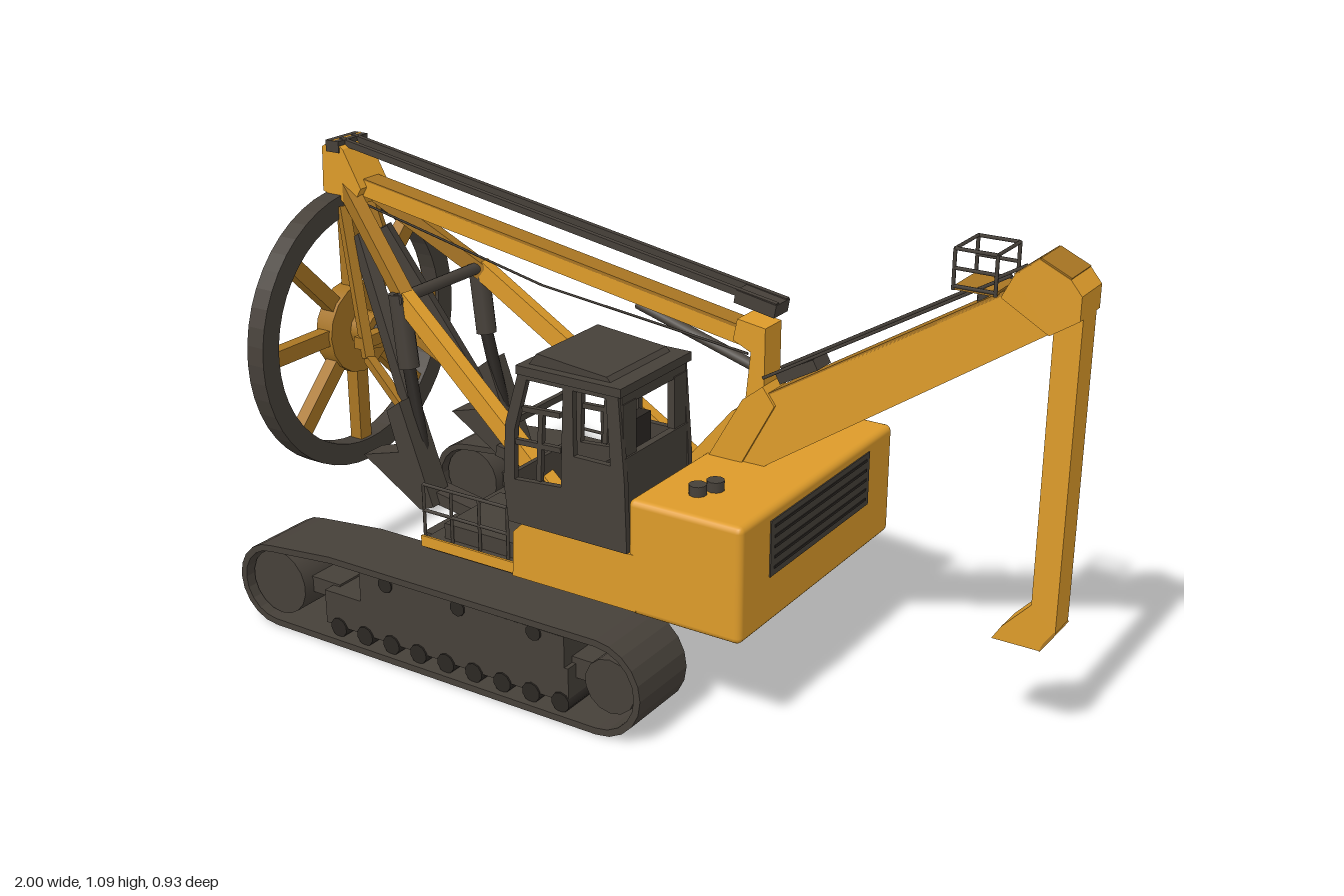
import * as THREE from 'three';
import { RoundedBoxGeometry } from 'three/addons/geometries/RoundedBoxGeometry.js';

export function createModel() {
  const model = new THREE.Group();
  const mat = (name, color) => {
    const m = new THREE.MeshStandardMaterial({ color });
    m.name = name;
    return m;
  };
  const amber = mat('amber paint', 0xdd9b2a);
  const brown = mat('weathered amber', 0xa87523);
  const dark = mat('dark steel', 0x464039);
  const black = mat('black trim', 0x2b2723);

  const add = (name, geometry, material, parent = model) => {
    const m = new THREE.Mesh(geometry, material);
    m.name = name;
    parent.add(m);
    return m;
  };
  const group = (name) => {
    const g = new THREE.Group();
    g.name = name;
    model.add(g);
    return g;
  };
  // Box given by its two corners
  const box = (name, a, b, material, parent) => {
    const m = add(name, new THREE.BoxGeometry(b[0] - a[0], b[1] - a[1], b[2] - a[2]), material, parent);
    m.position.set((a[0] + b[0]) / 2, (a[1] + b[1]) / 2, (a[2] + b[2]) / 2);
    return m;
  };
  // Square beam from p to q: w across, h in the upright plane
  const up = new THREE.Vector3(0, 1, 0);
  const beam = (name, p, q, w, h, material, parent) => {
    const a = new THREE.Vector3(...p), b = new THREE.Vector3(...q);
    const m = add(name, new THREE.BoxGeometry(w, h, a.distanceTo(b)), material, parent);
    m.quaternion.setFromRotationMatrix(new THREE.Matrix4().lookAt(b, a, up));
    m.position.copy(a).add(b).multiplyScalar(0.5);
    return m;
  };
  // Round bar from p to q
  const rod = (name, p, q, r, material, parent, sides = 10) => {
    const a = new THREE.Vector3(...p), b = new THREE.Vector3(...q);
    const m = add(name, new THREE.CylinderGeometry(r, r, a.distanceTo(b), sides), material, parent);
    m.position.copy(a).add(b).multiplyScalar(0.5);
    m.quaternion.setFromUnitVectors(up, b.sub(a).normalize());
    return m;
  };
  // Side profile pushed from z0 to z1, with optional holes
  const pts = (list) => list.map(([x, y]) => new THREE.Vector2(x, y));
  const prism = (name, profile, z0, z1, material, parent, holes = []) => {
    const s = new THREE.Shape(pts(profile));
    for (const h of holes) s.holes.push(new THREE.Path(pts(h)));
    const g = new THREE.ExtrudeGeometry(s, { depth: z1 - z0, bevelEnabled: false });
    return add(name, g.translate(0, 0, z0), material, parent);
  };

  // Crawler tracks
  const belt = (inset) => {
    const out = [];
    const arc = (x, r, start) => {
      for (let i = 0; i <= 10; i++) {
        const a = start + (i / 10) * Math.PI;
        out.push([x + Math.cos(a) * (r - inset), r + Math.sin(a) * (r - inset)]);
      }
    };
    arc(-0.785, 0.105, Math.PI / 2);
    arc(0.145, 0.115, -Math.PI / 2);
    out.push([-0.6, 0.228 - inset]);
    return out;
  };
  for (const s of [-1, 1]) {
    const t = group(s > 0 ? 'frontTrack' : 'backTrack');
    const zr = (a, b) => (s > 0 ? [a, b] : [-b, -a]);
    const [z0, z1] = zr(0.28, 0.465);
    prism('trackBelt', belt(0), z0, z1, dark, t, [belt(0.016)]);
    const [f0, f1] = zr(0.3, 0.445);
    box('trackFrame', [-0.64, 0.04, f0], [0.06, 0.125, f1], dark, t);
    box('trackFrameTop', [-0.53, 0.12, f0], [0.05, 0.2, f1], dark, t);
    box('idlerYoke', [-0.78, 0.09, f0 + 0.03], [-0.62, 0.13, f1 - 0.03], dark, t);
    box('driveYoke', [0.05, 0.09, f0 + 0.03], [0.15, 0.14, f1 - 0.03], dark, t);
    rod('idler', [-0.785, 0.107, f0], [-0.785, 0.107, f1], 0.082, dark, t, 18);
    rod('sprocket', [0.17, 0.115, f0], [0.17, 0.115, f1], 0.065, dark, t, 14);
    for (let i = 0; i < 9; i++) {
      const x = -0.6 + i * 0.08;
      rod('trackRoller', [x, 0.038, f0 - 0.004], [x, 0.038, f1 + 0.004], 0.024, black, t);
    }
    for (const x of [-0.45, -0.24, -0.03])
      rod('carrierRoller', [x, 0.19, f0 - 0.004], [x, 0.19, f1 + 0.004], 0.02, black, t);
    const [a0, a1] = zr(0.2, 0.31);
    box('carBodyArm', [-0.48, 0.15, a0], [0.04, 0.205, a1], dark, t);
  }
  box('carBody', [-0.52, 0.128, -0.22], [0.08, 0.218, 0.22], dark);
  rod('slewRing', [-0.14, 0.205, 0], [-0.14, 0.25, 0], 0.19, black, model, 28);

  // Upper structure
  box('deck', [-0.42, 0.245, -0.3], [0.16, 0.272, 0.33], dark);
  for (const z of [-0.306, 0.33]) box('deckSkirt', [-0.43, 0.25, z], [0.16, 0.277, z + 0.006], amber);
  const cw = add('counterweight', new RoundedBoxGeometry(0.28, 0.27, 0.69, 2, 0.015), amber);
  cw.position.set(0.29, 0.377, 0);
  box('counterweightInnerFace', [0.147, 0.275, -0.33], [0.152, 0.495, -0.06], brown);
  box('counterweightUnderside', [0.17, 0.238, -0.3], [0.4, 0.244, 0.3], brown);
  box('rearGrille', [0.425, 0.355, -0.225], [0.433, 0.485, 0.225], dark);
  for (let i = 0; i < 5; i++)
    box('grilleSlat', [0.43, 0.37 + i * 0.024, -0.21], [0.435, 0.376 + i * 0.024, 0.21], black);
  for (const [x, z] of [[0.26, 0.24], [0.28, 0.2], [0.2, -0.25]])
    rod('deckCap', [x, 0.5, z], [x, 0.535, z], 0.02, dark);
  prism('cabBase', [[-0.16, 0.25], [0.17, 0.25], [0.17, 0.385], [-0.13, 0.385], [-0.155, 0.36]], 0.07, 0.345, amber);
  box('machineryCover', [-0.1, 0.27, -0.24], [0.16, 0.37, -0.06], dark);
  box('machineryStep', [-0.3, 0.27, -0.22], [-0.1, 0.31, -0.08], dark);
  box('boomCradle', [-0.15, 0.27, -0.06], [0.16, 0.42, 0.07], dark);
  box('toolLocker', [-0.38, 0.27, 0.1], [-0.17, 0.31, 0.31], dark);
  for (const z of [-0.28, 0.0]) box('deckStrip', [-0.4, 0.27, z], [-0.16, 0.278, z + 0.04], brown);

  // Handrails
  const rails = group('handrails');
  for (const z of [-0.29, 0.32]) {
    for (const x of [-0.43, -0.35, -0.27, -0.19]) rod('railPost', [x, 0.27, z], [x, 0.4, z], 0.004, dark, rails, 6);
    for (const y of [0.335, 0.4]) rod('railBar', [-0.43, y, z], [-0.19, y, z], 0.004, dark, rails, 6);
  }

  // Cab
  const cab = group('cab');
  const side = [[-0.165, 0.385], [0.15, 0.385], [0.145, 0.55], [0.13, 0.75], [-0.125, 0.75], [-0.165, 0.62], [-0.175, 0.48]];
  const sideWindows = [
    [[-0.145, 0.49], [-0.02, 0.5], [-0.01, 0.73], [-0.105, 0.73], [-0.14, 0.61]],
    [[0.015, 0.58], [0.11, 0.58], [0.1, 0.73], [0.015, 0.73]],
  ];
  for (const z of [0.08, 0.333]) prism('cabSide', side, z, z + 0.015, dark, cab, sideWindows);
  for (const z of [0.087, 0.341]) {
    beam('doorBar', [-0.08, 0.5, z], [-0.07, 0.66, z], 0.012, 0.012, dark, cab);
    beam('doorBar', [-0.14, 0.58, z], [-0.02, 0.585, z], 0.012, 0.012, dark, cab);
    beam('doorBar', [-0.12, 0.66, z], [-0.02, 0.665, z], 0.012, 0.012, dark, cab);
  }
  box('cabRear', [0.125, 0.385, 0.09], [0.142, 0.6, 0.34], dark, cab);
  box('cabRearTop', [0.12, 0.715, 0.09], [0.135, 0.75, 0.34], dark, cab);
  for (const z of [0.09, 0.29]) box('cabRearPost', [0.12, 0.6, z], [0.138, 0.72, z + 0.05], dark, cab);
  beam('cabFrontPanel', [-0.165, 0.385, 0.214], [-0.172, 0.49, 0.214], 0.25, 0.012, dark, cab);
  box('windscreenBar', [-0.165, 0.61, 0.09], [-0.153, 0.625, 0.34], dark, cab);
  box('cabRoof', [-0.13, 0.74, 0.075], [0.14, 0.76, 0.352], dark, cab);
  prism('roofVisor', [[-0.11, 0.76], [0.1, 0.76], [0.09, 0.77], [-0.09, 0.787]], 0.1, 0.33, dark, cab);
  box('seat', [-0.02, 0.385, 0.15], [0.08, 0.5, 0.28], black, cab);
  box('seatBack', [0.06, 0.5, 0.16], [0.09, 0.64, 0.26], black, cab);

  // Rear boom with hanging leg
  const boom = group('rearBoom');
  prism('boomBeam', [[0.02, 0.385], [0.1, 0.37], [0.33, 0.53], [0.96, 0.955], [0.86, 1.02], [0.22, 0.625]], -0.035, 0.035, amber, boom);
  beam('boomTopPlate', [0.24, 0.637, 0], [0.85, 1.014, 0], 0.07, 0.008, brown, boom);
  prism('boomHead', [[0.835, 1.0], [0.86, 1.05], [0.91, 1.09], [0.975, 1.06], [1.0, 1.03], [1.0, 0.98], [0.94, 0.94]], -0.052, 0.052, amber, boom);
  beam('headTopPlate', [0.86, 1.05, 0], [0.91, 1.09, 0], 0.1, 0.006, brown, boom);
  beam('headTopPlate', [0.91, 1.09, 0], [0.975, 1.06, 0], 0.1, 0.006, brown, boom);
  prism('hangingLeg', [[0.942, 1.0], [1.0, 1.0], [0.998, 0.3], [0.965, 0.25], [0.86, 0.25], [0.88, 0.283], [0.942, 0.35]], -0.035, 0.035, amber, boom);
  beam('legHeel', [0.998, 0.3, 0], [0.965, 0.25, 0], 0.07, 0.006, brown, boom);
  prism('boomBracket', [[0.16, 0.5], [0.25, 0.51], [0.33, 0.66], [0.3, 0.7], [0.25, 0.66]], -0.042, 0.042, amber, boom);
  for (const z of [-0.04, 0.04]) rod('boomStay', [0.3, 0.72, z], [0.85, 1.045, z], 0.004, dark, boom, 6);
  beam('boomWinch', [0.33, 0.72, 0], [0.42, 0.77, 0], 0.06, 0.025, dark, boom);

  // Service basket, a cage of thin bars
  const basket = group('basket');
  box('basketFloor', [0.735, 1.0, -0.055], [0.825, 1.008, 0.055], brown, basket);
  for (const z of [-0.055, 0.055]) {
    for (const x of [0.735, 0.825]) rod('cagePost', [x, 1.0, z], [x, 1.085, z], 0.004, dark, basket, 6);
    for (const y of [1.008, 1.045, 1.085]) rod('cageBar', [0.735, y, z], [0.825, y, z], 0.004, dark, basket, 6);
  }
  for (const x of [0.735, 0.825]) rod('cageEnd', [x, 1.085, -0.055], [x, 1.085, 0.055], 0.004, dark, basket, 6);
  rod('basketMount', [0.78, 0.95, 0], [0.78, 1.0, 0], 0.015, dark, basket);

  // Long top beam joining the rear post and the wheel mast
  const top = group('topBeam');
  beam('mainBeam', [-0.88, 0.985, 0], [0.29, 0.79, 0], 0.055, 0.04, amber, top);
  beam('mainBeamTopPlate', [-0.82, 0.995, 0], [0.23, 0.82, 0], 0.055, 0.008, brown, top);
  for (const z of [-0.022, 0.022]) beam('tieBar', [-0.89, 1.083, z], [0.32, 0.88, z], 0.013, 0.016, dark, top);
  beam('tieEnd', [0.22, 0.888, 0], [0.32, 0.87, 0], 0.06, 0.03, dark, top);
  prism('rearPost', [[0.25, 0.62], [0.3, 0.66], [0.3, 0.83], [0.23, 0.84], [0.22, 0.79], [0.265, 0.77]], -0.035, 0.035, amber, top);
  rod('slackCable', [-0.85, 0.94, 0.02], [-0.3, 0.82, 0.02], 0.003, dark, top, 5);
  rod('slackCable', [-0.3, 0.82, 0.02], [0.25, 0.76, 0.02], 0.003, dark, top, 5);
  prism('mastHead', [[-0.93, 0.96], [-0.925, 1.07], [-0.89, 1.09], [-0.86, 1.07], [-0.81, 0.98], [-0.84, 0.93]], -0.05, 0.05, amber, top);
  box('mastPulley', [-0.91, 1.06, -0.053], [-0.87, 1.088, 0.053], dark, top);

  // Front linkage, mirrored on both sides; the far leg runs on past the cab line
  const link = group('frontLinkage');
  for (const s of [-1, 1]) {
    beam('upperLeg', [-0.87, 0.97, s * 0.03], [-0.6, 0.76, s * 0.145], 0.035, 0.04, brown, link);
    beam('lowerLeg', [-0.61, 0.77, s * 0.145], s > 0 ? [-0.14, 0.4, 0.2] : [0.04, 0.28, -0.265], 0.035, 0.045, amber, link);
    rod('ramBarrel', [-0.62, 0.78, s * 0.15], [-0.6, 0.6, s * 0.15], 0.026, dark, link);
    rod('ramPiston', [-0.6, 0.6, s * 0.15], [-0.56, 0.4, s * 0.16], 0.016, black, link);
    beam('wheelFork', [-0.87, 0.93, s * 0.05], [-0.78, 0.57, s * 0.09], 0.025, 0.025, brown, link);
    beam('forkLink', [-0.78, 0.57, s * 0.09], [-0.62, 0.46, s * 0.13], 0.022, 0.022, brown, link);
    beam('darkBrace', [-0.83, 0.86, s * 0.04], [-0.62, 0.47, s * 0.12], 0.03, 0.045, dark, link);
    prism('footPlate', [[-0.63, 0.5], [-0.59, 0.53], [-0.5, 0.28], [-0.54, 0.265], [-0.71, 0.37], [-0.6, 0.4]],
      s * 0.17 - 0.035, s * 0.17 + 0.035, dark, link);
    beam('deckLink', [-0.56, 0.3, s * 0.15], [-0.3, 0.26, s * 0.15], 0.06, 0.03, dark, link);
  }
  rod('crossShaft', [-0.61, 0.77, -0.17], [-0.61, 0.77, 0.17], 0.015, dark, link);
  rod('hoistRam', [-0.08, 0.795, -0.05], [0.27, 0.71, -0.02], 0.013, dark, link);

  // Big spoked wheel
  const wheel = group('spokedWheel');
  wheel.position.set(-0.9, 0.605, 0);
  const ring = (r0, r1, x0, x1) => {
    const s = new THREE.Shape().absarc(0, 0, r1, 0, Math.PI * 2);
    s.holes.push(new THREE.Path().absarc(0, 0, r0, 0, Math.PI * 2, true));
    const g = new THREE.ExtrudeGeometry(s, { depth: x1 - x0, bevelEnabled: false, curveSegments: 24 });
    return g.translate(0, 0, x0).rotateY(Math.PI / 2);
  };
  add('rim', ring(0.3, 0.354, -0.024, 0.026), dark, wheel);
  add('rimFace', ring(0.305, 0.338, -0.03, -0.024), brown, wheel);
  for (let i = 0; i < 8; i++) {
    const arm = new THREE.Group();
    arm.name = 'spoke';
    arm.rotation.x = (i * Math.PI) / 4;
    wheel.add(arm);
    box('spokeBar', [-0.018, 0.08, -0.02], [0.016, 0.305, 0.02], brown, arm);
  }
  rod('hubDisc', [-0.025, 0, 0], [0.025, 0, 0], 0.115, brown, wheel, 16);
  rod('hubBoss', [-0.06, 0, 0], [0.08, 0, 0], 0.045, brown, wheel, 12);
  rod('axle', [-0.1, 0, 0], [0.12, 0, 0], 0.025, dark, wheel, 10);
  box('axleBar', [0.085, -0.015, -0.1], [0.115, 0.015, 0.1], brown, wheel);

  return model;
}
